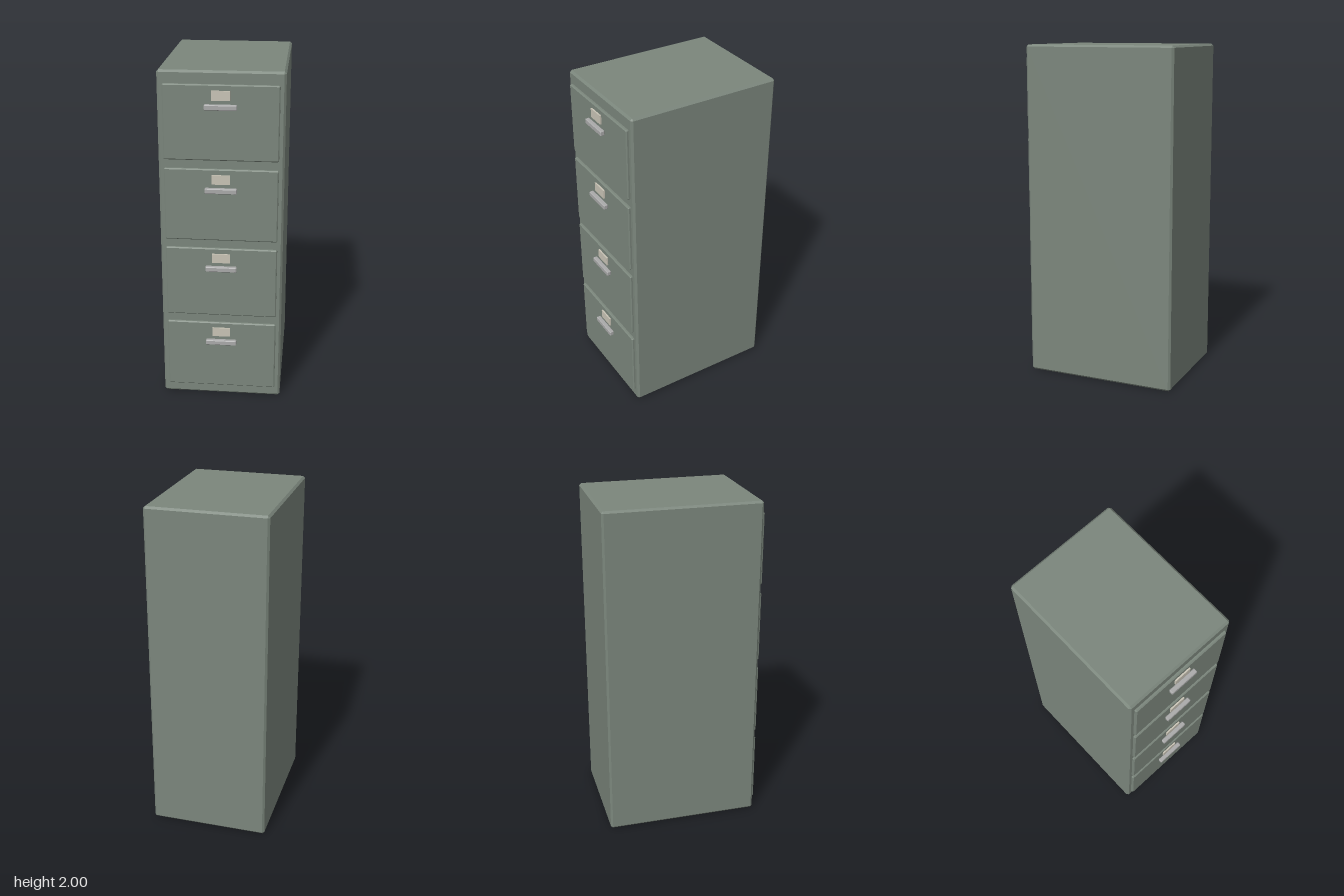
import * as THREE from 'three';
import { ConvexGeometry } from 'three/addons/geometries/ConvexGeometry.js';

// Box between two corners, with every edge cut by a flat bevel c
function bevelBox(w, h, d, c) {
  const [x, y, z] = [w / 2, h / 2, d / 2];
  const points = [];
  for (const sx of [-1, 1]) for (const sy of [-1, 1]) for (const sz of [-1, 1]) {
    points.push(
      new THREE.Vector3(sx * x, sy * (y - c), sz * (z - c)),
      new THREE.Vector3(sx * (x - c), sy * y, sz * (z - c)),
      new THREE.Vector3(sx * (x - c), sy * (y - c), sz * z)
    );
  }
  return new ConvexGeometry(points);
}

function part(name, geometry, material, y, z) {
  const mesh = new THREE.Mesh(geometry, material);
  mesh.name = name;
  mesh.position.set(0, y, z);
  return mesh;
}

export function createModel() {
  const group = new THREE.Group();
  group.name = 'filingCabinet';

  const paint = new THREE.MeshStandardMaterial({ color: 0x7b867c });
  const metal = new THREE.MeshStandardMaterial({ color: 0xaaaaaa });
  const card = new THREE.MeshStandardMaterial({ color: 0xc9c4b6 });

  // Cabinet shell
  group.add(part('cabinetBody', bevelBox(0.706, 2, 0.92, 0.012), paint, 1, -0.023));

  // Shared drawer pieces
  const frontGeometry = bevelBox(0.644, 0.428, 0.03, 0.006);
  const handleGeometry = bevelBox(0.18, 0.03, 0.027, 0.004);
  const labelGeometry = new THREE.BoxGeometry(0.104, 0.054, 0.014);

  // Four drawers, bottom to top
  for (let i = 0; i < 4; i++) {
    const drawer = new THREE.Group();
    drawer.name = `drawer${i + 1}`;
    drawer.position.y = 0.278 + i * 0.4785;
    drawer.add(
      part('drawerFront', frontGeometry, paint, 0, 0.438),
      part('drawerHandle', handleGeometry, metal, 0.093, 0.4685),
      part('labelCard', labelGeometry, card, 0.155, 0.455)
    );
    group.add(drawer);
  }
  return group;
}
